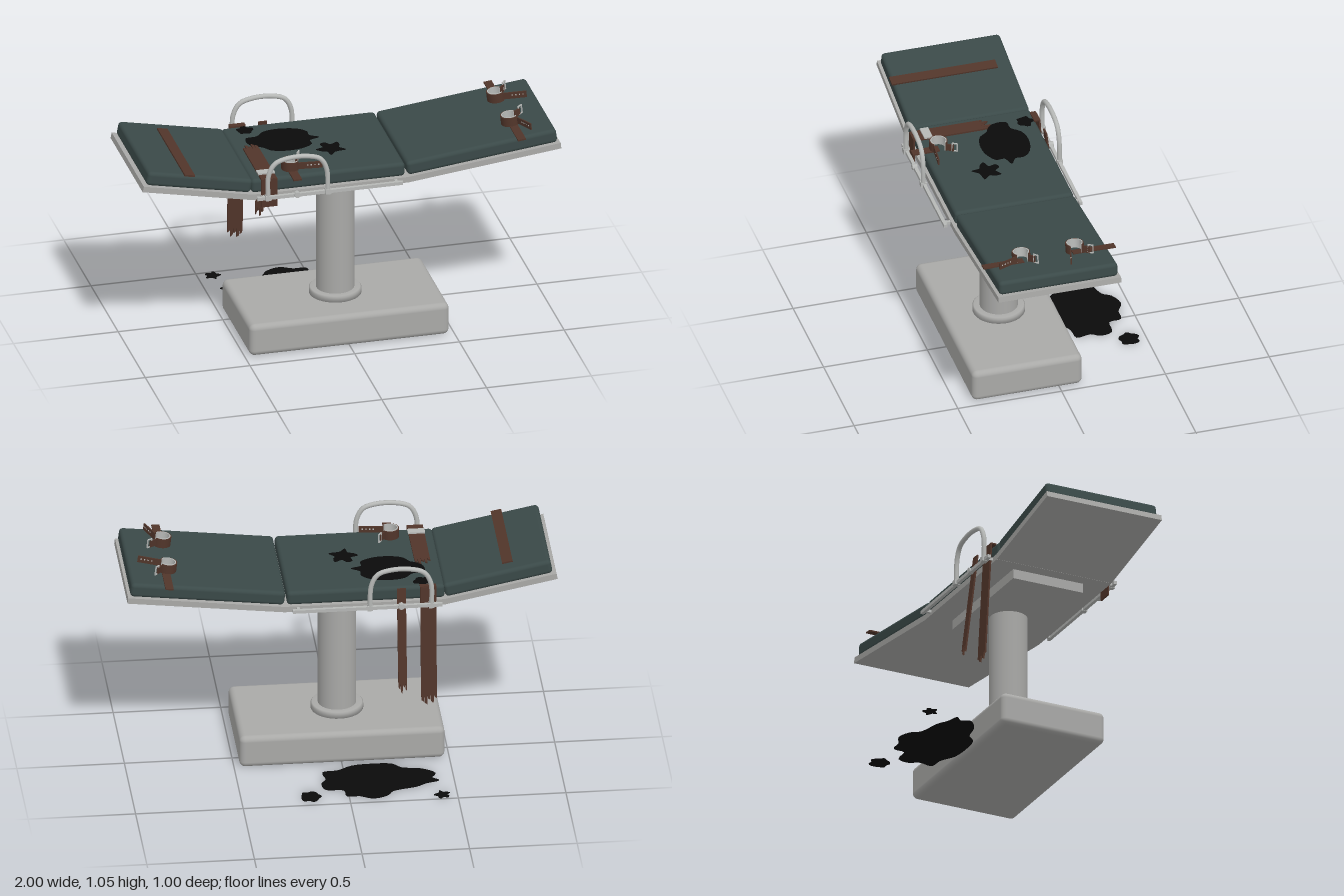
import * as THREE from 'three';
import { RoundedBoxGeometry } from 'three/addons/geometries/RoundedBoxGeometry.js';

const mat = (name, color) => {
  const m = new THREE.MeshStandardMaterial({ color });
  m.name = name;
  return m;
};

export function createModel() {
  const steel = mat('steel', 0xa9a9a7);
  const bright = mat('bright steel', 0xb6b8b6);
  const vinyl = mat('padding', 0x3a4948);
  const leather = mat('leather', 0x51352a);
  const black = mat('black stain', 0x0a0a0a);

  const model = new THREE.Group();
  model.name = 'operatingTable';
  const table = new THREE.Group();
  table.name = 'table';
  table.position.z = 0.155;
  model.add(table);

  const add = (parent, name, geo, material, x = 0, y = 0, z = 0) => {
    const m = new THREE.Mesh(geo, material);
    m.name = name;
    m.position.set(x, y, z);
    parent.add(m);
    return m;
  };
  const box = (w, h, d) => new THREE.BoxGeometry(w, h, d);
  // Extrudes a plan outline (x, z) upward from y = 0
  const flat = (shape, h) => new THREE.ExtrudeGeometry(shape, { depth: h, bevelEnabled: false, curveSegments: 20 })
    .rotateX(Math.PI / 2).translate(0, h, 0);

  // Pedestal
  add(table, 'base', new RoundedBoxGeometry(0.953, 0.158, 0.53, 4, 0.027), steel, -0.002, 0.081, 0);
  const collar = [[0.085, 0.155], [0.122, 0.155], [0.122, 0.183], [0.116, 0.19], [0.085, 0.19]];
  add(table, 'collar', new THREE.LatheGeometry(collar.map(p => new THREE.Vector2(...p)), 40), steel, -0.004);
  add(table, 'column', new THREE.CylinderGeometry(0.089, 0.089, 0.62, 40), steel, -0.004, 0.47, 0);
  add(table, 'mountPlate', box(0.63, 0.046, 0.36), steel, -0.1, 0.802, 0);

  // Three panels: a steel tray under a padded cushion, each in its own tilted frame
  const panel = (name, x, angle, tray, pad) => {
    const g = new THREE.Group();
    g.name = name;
    g.position.set(x, 0.825, 0);
    g.rotation.z = angle;
    table.add(g);
    add(g, 'tray', box(tray[1] - tray[0], 0.028, 0.592), steel, (tray[0] + tray[1]) / 2, 0.014, 0);
    add(g, 'cushion', new RoundedBoxGeometry(pad[1] - pad[0], 0.068, 0.572, 4, 0.018), vinyl,
      (pad[0] + pad[1]) / 2, 0.062, 0);
    return g;
  };
  const head = panel('headPanel', -0.475, -0.197, [-0.535, 0], [-0.52, -0.012]);
  const seat = panel('middlePanel', 0, 0, [-0.478, 0.275], [-0.476, 0.257]);
  const foot = panel('footPanel', 0.27, 0.117, [0, 0.735], [0.004, 0.725]);

  // Side rails with arched grab handles
  for (const s of [-1, 1]) {
    const g = new THREE.Group();
    g.name = s > 0 ? 'frontRail' : 'backRail';
    table.add(g);
    add(g, 'rail', box(0.695, 0.016, 0.016), bright, -0.113, 0.843, s * 0.326);
    for (const x of [-0.43, 0.207]) add(g, 'railPost', box(0.014, 0.014, 0.04), bright, x, 0.842, s * 0.308);
    const arch = [[-0.41, 0.84], [-0.406, 0.96], [-0.375, 1.015], [-0.31, 1.036],
      [-0.225, 1.036], [-0.16, 1.015], [-0.13, 0.96], [-0.124, 0.84]];
    const curve = new THREE.CatmullRomCurve3(arch.map(([x, y]) => new THREE.Vector3(x, y, s * 0.328)));
    add(g, 'handle', new THREE.TubeGeometry(curve, 48, 0.0115, 12), bright);
    for (const x of [-0.41, -0.124]) add(g, 'handleClamp', box(0.026, 0.024, 0.028), bright, x, 0.845, s * 0.328);
    add(g, 'railBolt', new THREE.CylinderGeometry(0.014, 0.014, 0.024, 14).rotateX(Math.PI / 2), bright,
      -0.27, 0.845, s * 0.328);
  }

  // Leather strap hanging along -y with a torn lower end
  const tornStrap = (w, len, teeth) => {
    const s = new THREE.Shape([new THREE.Vector2(-w / 2, 0)]);
    const n = teeth.length;
    teeth.forEach((t, i) => {
      const x = -w / 2 + (i * w) / n;
      s.lineTo(x + 0.001, -len + t);
      s.lineTo(x + w / n - 0.003, -len + t + 0.008);
      s.lineTo(x + w / n - 0.001, -len + 0.05);
    });
    s.lineTo(w / 2, 0);
    return new THREE.ExtrudeGeometry(s, { depth: 0.008, bevelEnabled: false }).translate(0, 0, -0.004);
  };
  const wideTeeth = [0.03, 0.006, 0.022, 0, 0.014];
  const narrowTeeth = [0.012, 0.03, 0, 0.02];

  // Torn body straps: one half on the cushion, the others hanging behind
  add(seat, 'bodyStrap', tornStrap(0.075, 0.375, wideTeeth), leather, -0.397, 0.1, 0.302).rotation.x = Math.PI / 2;
  add(seat, 'bodyStrapEnd', box(0.075, 0.142, 0.007), leather, -0.397, 0.032, 0.302);
  add(seat, 'strapBuckle', box(0.08, 0.008, 0.04), bright, -0.397, 0.107, 0.234);
  add(seat, 'backBodyStrap', tornStrap(0.075, 0.597, wideTeeth), leather, -0.397, 0.1, -0.302).rotation.x = 0.055;
  add(seat, 'backStrapFold', box(0.075, 0.007, 0.028), leather, -0.397, 0.099, -0.29);
  add(seat, 'backArmStrap', tornStrap(0.042, 0.52, narrowTeeth), leather, -0.272, 0.098, -0.302).rotation.x = 0.123;
  add(seat, 'armStrap', box(0.04, 0.007, 0.13), leather, -0.27, 0.099, 0.276);
  add(head, 'headStrap', box(0.05, 0.009, 0.51), leather, -0.325, 0.099, 0.04);
  for (const [z, len] of [[-0.218, 0.205], [0.218, 0.195]])
    add(foot, 'ankleStrap', box(0.038, 0.007, len), leather, 0.552, 0.098, z);

  // Open cuff: leather band, steel lining, holed tail and a buckle tongue
  const sector = (ri, ro, a0, a1) => {
    const s = new THREE.Shape();
    s.absarc(0, 0, ro, a0, a1, false);
    s.absarc(0, 0, ri, a1, a0, true);
    return s;
  };
  const frame = new THREE.Shape([[-1, -1], [1, -1], [1, 1], [-1, 1]].map(([x, y]) => new THREE.Vector2(x * 0.014, y * 0.022)));
  frame.holes.push(new THREE.Path([[-1, -1], [-1, 1], [1, 1], [1, -1]].map(([x, y]) => new THREE.Vector2(x * 0.01, y * 0.018))));
  const cuff = (parent, name, x, z, tailDir, tailLen, tongueDir) => {
    const g = new THREE.Group();
    g.name = name;
    g.position.set(x, 0.1, z);
    parent.add(g);
    const a0 = 0.8, a1 = 2 * Math.PI - 0.75;
    add(g, 'cuffBand', flat(sector(0.038, 0.043, a0, a1), 0.044), leather);
    add(g, 'cuffLining', flat(sector(0.033, 0.038, a0, a1), 0.046), bright);
    const arm = (a, dir) => {
      const t = new THREE.Group();
      t.position.set(0.039 * Math.cos(a), 0, 0.039 * Math.sin(a));
      t.rotation.y = -dir;
      g.add(t);
      return t;
    };
    const tail = arm(a0, tailDir);
    tail.name = 'cuffTail';
    add(tail, 'tailStrap', box(tailLen, 0.032, 0.006), leather, tailLen / 2, 0.022, 0);
    for (let i = 0; i < 4; i++)
      add(tail, 'eyelet', box(0.006, 0.006, 0.0075), bright, tailLen * (0.4 + i * 0.15), 0.024, 0);
    const tongue = arm(a1, tongueDir);
    tongue.name = 'cuffTongue';
    add(tongue, 'tongueStrap', box(0.04, 0.034, 0.006), leather, 0.02, 0.022, 0);
    add(tongue, 'buckle', new THREE.ExtrudeGeometry(frame, { depth: 0.006, bevelEnabled: false }), bright, 0.044, 0.028, -0.003);
  };
  cuff(foot, 'leftAnkleCuff', 0.545, 0.128, 1.15, 0.105, -0.65);
  cuff(foot, 'rightAnkleCuff', 0.545, -0.13, 0.25, 0.11, -0.9);
  cuff(seat, 'wristCuff', -0.272, 0.212, 0.1, 0.115, -1.0);

  // Dark stains: closed curves through a few plan points (x, z)
  const stain = (parent, name, pts, y) => {
    const c = new THREE.CatmullRomCurve3(pts.map(p => new THREE.Vector3(p[0], p[1], 0)), true, 'centripetal');
    const outline = c.getPoints(pts.length * 3).slice(0, -1).map(p => new THREE.Vector2(p.x, p.y));
    add(parent, name, flat(new THREE.Shape(outline), 0.004), black, 0, y, 0);
  };
  const splat = (x, z, r, seed) => Array.from({ length: 14 }, (_, i) => {
    const a = (i / 14) * 2 * Math.PI;
    const k = r * (0.85 + 0.2 * Math.sin(i * 2.3 + seed) + 0.1 * Math.sin(i * 4.1 + seed * 2));
    return [x + k * Math.cos(a), z + k * Math.sin(a)];
  });
  const floor = new THREE.Group();
  floor.name = 'floorStains';
  model.add(floor);
  stain(floor, 'floorPuddle', [[-0.42, -0.25], [-0.4, -0.29], [-0.43, -0.32], [-0.37, -0.34], [-0.32, -0.37],
    [-0.21, -0.4], [-0.18, -0.44], [-0.11, -0.465], [-0.05, -0.435], [0.01, -0.43], [0.02, -0.37], [0.1, -0.36],
    [0.115, -0.3], [0.09, -0.26], [0.1, -0.19], [0.03, -0.18], [-0.04, -0.14], [-0.14, -0.13], [-0.23, -0.14],
    [-0.27, -0.18], [-0.36, -0.2]], 0);
  stain(floor, 'floorDropA', splat(-0.43, -0.462, 0.036, 1), 0);
  stain(floor, 'floorDropB', splat(0.178, -0.42, 0.054, 4), 0);
  const top = new THREE.Group();
  top.name = 'cushionStains';
  top.position.z = 0.005;
  model.add(top);
  stain(top, 'cushionStain', [[-0.4, 0.04], [-0.39, 0], [-0.34, -0.005], [-0.3, -0.045], [-0.23, -0.06], [-0.14, -0.04],
    [-0.1, 0], [-0.1, 0.04], [-0.06, 0.07], [-0.11, 0.09], [-0.11, 0.13], [-0.17, 0.165], [-0.25, 0.17],
    [-0.31, 0.15], [-0.34, 0.11], [-0.38, 0.09]], 0.919);
  stain(top, 'cushionDropA', splat(-0.375, -0.085, 0.043, 2), 0.919);
  stain(top, 'cushionDropB', splat(-0.037, 0.195, 0.064, 5), 0.919);
  return model;
}
